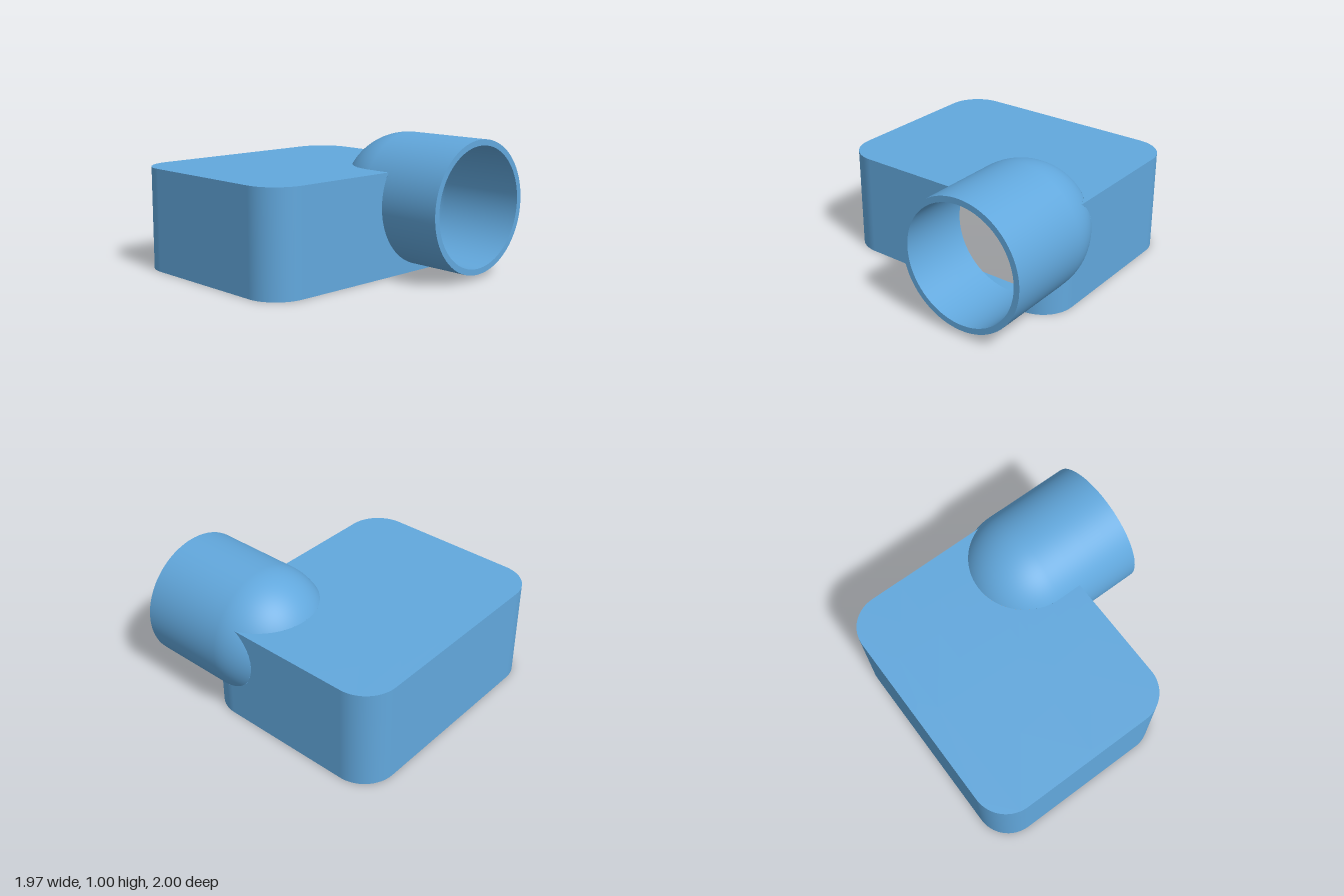
import * as THREE from 'three';
import { mergeGeometries } from 'three/addons/utils/BufferGeometryUtils.js';

// Housing: rounded box, open below through a lip
const X0 = -0.985, X1 = 0.893, Z0 = -1, Z1 = 0.515, TOP = 0.76, WALL = 0.057, CORNER = 0.25, LIP = 0.18;
const CX = (X0 + X1) / 2, CZ = (Z0 + Z1) / 2;
// Pipe: round tube along z with a domed inner end
const PX = 0.5, PY = 0.52, DOME_Z = 0.33, PIPE_END = 1, R_OUT = 0.48, R_IN = 0.437;

// Signed distances used for trimming one skin against another
const pipeDistance = (r) => (p) => Math.hypot(p.x - PX, p.y - PY, Math.min(p.z - DOME_Z, 0)) - r;
const boxDistance = (inset, y0, y1) => (p) => {
  const r = CORNER - inset;
  const qx = Math.abs(p.x - CX) - ((X1 - X0) / 2 - CORNER);
  const qz = Math.abs(p.z - CZ) - ((Z1 - Z0) / 2 - CORNER);
  const side = Math.hypot(Math.max(qx, 0), Math.max(qz, 0)) + Math.min(Math.max(qx, qz), 0) - r;
  return Math.max(side, p.y - y1, y0 - p.y);
};

// Rounded rectangle outline, counter-clockwise from above: [x, -z, normal x, -normal z]
function outline(inset) {
  const pts = [], r = CORNER - inset, n = 20;
  const hx = (X1 - X0) / 2 - CORNER, hz = (Z1 - Z0) / 2 - CORNER;
  [[1, 1], [-1, 1], [-1, -1], [1, -1]].forEach(([sx, sy], c) => {
    for (let k = 0; k <= n; k++) {
      const a = (c + k / n) * Math.PI / 2, nx = Math.cos(a), ny = Math.sin(a);
      pts.push([CX + sx * hx + r * nx, -CZ + sy * hz + r * ny, nx, ny]);
    }
  });
  return pts;
}

// Upright wall following the outline
function wall(inset, y0, y1) {
  const pts = outline(inset), pos = [], nor = [], idx = [], uv = [];
  for (let i = 0; i <= pts.length; i++) {
    const [x, y, nx, ny] = pts[i % pts.length];
    pos.push(x, y0, -y, x, y1, -y);
    nor.push(nx, 0, -ny, nx, 0, -ny);
    uv.push(0, 0, 0, 1);
    if (i < pts.length) {
      const a = 2 * i;
      idx.push(a, a + 2, a + 3, a, a + 3, a + 1);
    }
  }
  const g = new THREE.BufferGeometry();
  g.setAttribute('position', new THREE.Float32BufferAttribute(pos, 3));
  g.setAttribute('normal', new THREE.Float32BufferAttribute(nor, 3));
  g.setAttribute('uv', new THREE.Float32BufferAttribute(uv, 2));
  g.setIndex(idx);
  return g;
}

// Flat plate facing up, with an optional smaller opening
function plate(inset, y, holeInset) {
  const pts = (d) => outline(d).map(([a, b]) => new THREE.Vector2(a, b));
  const shape = new THREE.Shape(pts(inset));
  if (holeInset) shape.holes.push(new THREE.Path(pts(holeInset)));
  return new THREE.ShapeGeometry(shape).rotateX(-Math.PI / 2).translate(0, y, 0);
}

// Domed tube skin
function tube(r) {
  const profile = [];
  for (let i = 0; i <= 32; i++) {
    const a = i / 32 * Math.PI / 2;
    profile.push(new THREE.Vector2(r * Math.sin(a), -r * Math.cos(a)));
  }
  profile.push(new THREE.Vector2(r, PIPE_END - DOME_Z));
  return new THREE.LatheGeometry(profile, 96).rotateX(Math.PI / 2).translate(PX, PY, DOME_Z);
}

// Turn a surface to face the other way
function flip(g) {
  const ix = g.index.array;
  for (let i = 0; i < ix.length; i += 3) [ix[i], ix[i + 1]] = [ix[i + 1], ix[i]];
  const n = g.attributes.normal.array;
  for (let i = 0; i < n.length; i++) n[i] = -n[i];
  return g;
}

// Keep only the part of a surface outside a distance field, refining along the cut
function trim(geometry, dist, size = 0.014) {
  const g = geometry.toNonIndexed(), P = g.attributes.position, N = g.attributes.normal;
  const pos = [], nor = [];
  const mix = (a, b, t) => ({ p: a.p.clone().lerp(b.p, t), n: a.n.clone().lerp(b.n, t) });
  const emit = (...vs) => vs.forEach((v) => {
    const n = v.n.clone().normalize();
    pos.push(v.p.x, v.p.y, v.p.z);
    nor.push(n.x, n.y, n.z);
  });
  const cut = (a, b, c) => {
    const ab = a.p.distanceTo(b.p), bc = b.p.distanceTo(c.p), ca = c.p.distanceTo(a.p);
    const longest = Math.max(ab, bc, ca);
    if (Math.min(ab, bc, ca) < 1e-7) return;
    const d = dist(a.p.clone().add(b.p).add(c.p).divideScalar(3));
    if (Math.abs(d) > longest) {
      if (d > 0) emit(a, b, c);
      return;
    }
    if (longest > size) {
      // Rotate so the longest edge comes first, then halve it
      if (longest === bc) [a, b, c] = [b, c, a];
      else if (longest === ca) [a, b, c] = [c, a, b];
      const m = mix(a, b, 0.5);
      cut(a, m, c);
      cut(m, b, c);
      return;
    }
    const tri = [a, b, c], ds = tri.map((v) => dist(v.p)), poly = [];
    for (let i = 0; i < 3; i++) {
      const j = (i + 1) % 3;
      if (ds[i] >= 0) poly.push(tri[i]);
      if ((ds[i] >= 0) !== (ds[j] >= 0)) poly.push(mix(tri[i], tri[j], ds[i] / (ds[i] - ds[j])));
    }
    for (let i = 2; i < poly.length; i++) emit(poly[0], poly[i - 1], poly[i]);
  };
  const vert = (i) => ({
    p: new THREE.Vector3().fromBufferAttribute(P, i),
    n: new THREE.Vector3().fromBufferAttribute(N, i),
  });
  for (let i = 0; i < P.count; i += 3) cut(vert(i), vert(i + 1), vert(i + 2));
  const out = new THREE.BufferGeometry();
  out.setAttribute('position', new THREE.Float32BufferAttribute(pos, 3));
  out.setAttribute('normal', new THREE.Float32BufferAttribute(nor, 3));
  return out;
}

export function createModel() {
  const group = new THREE.Group();
  const material = new THREE.MeshStandardMaterial({ color: 0x62a8dd });
  const add = (name, ...parts) => {
    const mesh = new THREE.Mesh(mergeGeometries(parts), material);
    mesh.name = name;
    group.add(mesh);
  };
  const ceiling = TOP - WALL;
  const outsidePipe = pipeDistance(R_OUT), outsideBore = pipeDistance(R_IN);

  // Housing skins, opened where the pipe enters
  add('housingShell', trim(wall(0, 0, TOP), outsidePipe), trim(plate(0, TOP), outsidePipe));
  add('housingCavity', trim(flip(wall(WALL, WALL, ceiling)), outsideBore),
    trim(flip(plate(WALL, ceiling)), outsideBore));

  // Inward lip around the bottom opening
  add('bottomLip', flip(plate(0, 0, LIP)), plate(WALL, WALL, LIP), flip(wall(LIP, 0, WALL)));

  // Pipe skins, kept only where they lie outside the housing
  add('pipeOuter', trim(tube(R_OUT), boxDistance(0, 0, TOP)));
  add('pipeBore', trim(flip(tube(R_IN)), boxDistance(WALL, WALL, ceiling)));
  add('pipeRim', new THREE.RingGeometry(R_IN, R_OUT, 96).translate(PX, PY, PIPE_END));
  return group;
}
